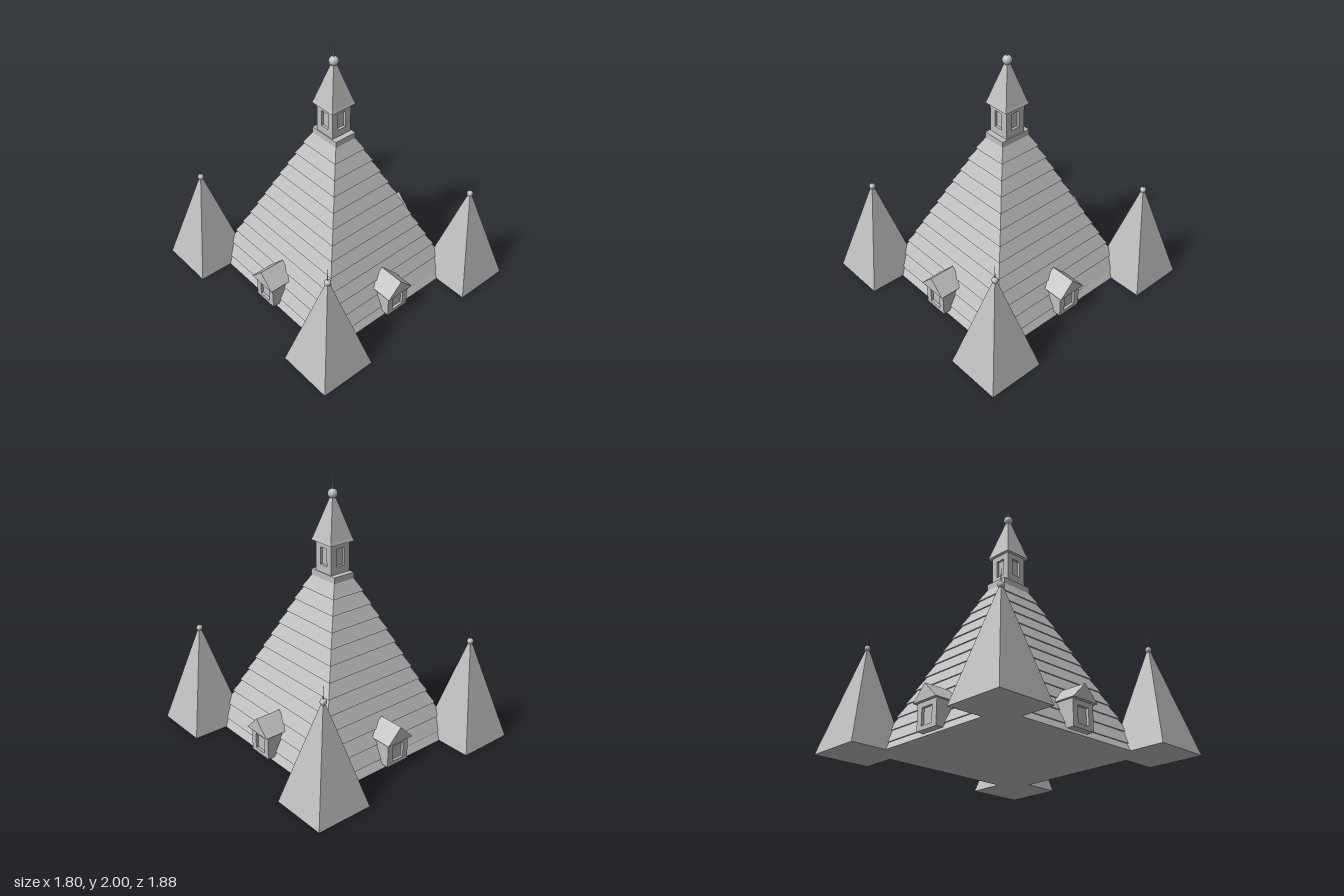
import * as THREE from 'three';

const slate = new THREE.MeshStandardMaterial({ color: 0xc0c0c0 });
slate.name = 'slate grey';
slate.flatShading = true;
const metal = new THREE.MeshStandardMaterial({ color: 0xc0c0c0 });
metal.name = 'finial grey';

function add(parent, name, geometry, x = 0, y = 0, z = 0, material = slate) {
  const mesh = new THREE.Mesh(geometry, material);
  mesh.name = name;
  mesh.position.set(x, y, z);
  parent.add(mesh);
  return mesh;
}

// Rectangular frustum standing on y0: half sizes at the bottom, then at the top
function frustum(y0, y1, bx, bz, tx, tz) {
  const g = new THREE.BoxGeometry(2, 1, 2);
  const p = g.attributes.position;
  for (let i = 0; i < p.count; i++) {
    const top = p.getY(i) > 0;
    p.setXYZ(i, p.getX(i) * (top ? tx : bx), top ? y1 : y0, p.getZ(i) * (top ? tz : bz));
  }
  g.computeVertexNormals();
  return g;
}

// Wall panel with a rectangular window opening, front face at z = 0
function windowWall(hw, y0, y1, winHw, wy0, wy1, depth) {
  const rect = (S, a, b, c) => new S([[-a, b], [a, b], [a, c], [-a, c]].map(q => new THREE.Vector2(...q)));
  const shape = rect(THREE.Shape, hw, y0, y1);
  shape.holes.push(rect(THREE.Path, winHw, wy0, wy1));
  return new THREE.ExtrudeGeometry(shape, { depth, bevelEnabled: false }).translate(0, 0, -depth);
}

// Ball with a tapering needle
function finial(parent, x, ballY, z, r, tipY) {
  add(parent, 'finialBall', new THREE.SphereGeometry(r, 20, 14), x, ballY, z, metal);
  const h = tipY - ballY;
  add(parent, 'finialCollar', new THREE.CylinderGeometry(r * 0.1, r * 0.22, h * 0.5, 10), x, ballY + h * 0.25, z, metal);
  add(parent, 'finialNeedle', new THREE.CylinderGeometry(r * 0.07, r * 0.1, h * 0.5, 10), x, ballY + h * 0.75, z, metal);
}

// Gabled dormer on the +z side of a roof whose foot lies at z = d
function dormer(d) {
  const g = new THREE.Group();
  g.name = 'dormer';
  const front = d + 0.04;
  add(g, 'dormerBody', new THREE.BoxGeometry(0.19, 0.19, 0.18), 0, 0.12, front - 0.02 - 0.09);
  add(g, 'dormerFront', windowWall(0.095, 0.025, 0.215, 0.05, 0.055, 0.175, 0.02), 0, 0, front);
  const gable = new THREE.Shape([
    new THREE.Vector2(-0.115, 0.21), new THREE.Vector2(0.115, 0.21), new THREE.Vector2(0, 0.325)]);
  add(g, 'dormerRoof', new THREE.ExtrudeGeometry(gable, { depth: 0.2, bevelEnabled: false }), 0, 0, d - 0.135);
  return g;
}

export function createModel() {
  const model = new THREE.Group();
  model.name = 'steepRoof';

  // Main roof of overlapping courses
  const roof = new THREE.Group();
  roof.name = 'mainRoof';
  model.add(roof);
  const baseX = 0.635, baseZ = 0.67, slope = 0.437, lap = 0.011, pitch = 0.0975;
  const outX = y => baseX - slope * y, outZ = y => baseZ - slope * y;
  const first = 0.06;
  for (let i = -1; i < 12; i++) {
    const y0 = i < 0 ? 0 : first + i * pitch;
    const y1 = first + (i + 1) * pitch;
    add(roof, 'roofCourse', frustum(y0, y1, outX(y0), outZ(y0), outX(y1) - lap, outZ(y1) - lap));
  }
  add(roof, 'ridgeBlock', frustum(1.22, 1.27, 0.09, 0.125, 0.09, 0.125));

  // Lantern with a window on each side
  const lantern = new THREE.Group();
  lantern.name = 'lantern';
  model.add(lantern);
  add(lantern, 'lanternCore', new THREE.BoxGeometry(0.124, 0.23, 0.124), 0, 1.385, 0);
  for (let i = 0; i < 4; i++) {
    const hw = i % 2 ? 0.063 : 0.083;
    const side = new THREE.Group();
    side.name = 'lanternSide';
    side.rotation.y = i * Math.PI / 2;
    add(side, 'lanternWall', windowWall(hw, 1.27, 1.5, 0.035, 1.325, 1.455, 0.02), 0, 0, 0.083);
    lantern.add(side);
  }

  // Spire above the lantern
  add(model, 'spireEave', frustum(1.495, 1.515, 0.107, 0.107, 0.099, 0.099));
  add(model, 'spire', frustum(1.515, 1.85, 0.099, 0.099, 0.001, 0.001));
  finial(model, 0, 1.83, 0, 0.035, 2);

  // Corner pyramids
  for (const sx of [-1, 1]) for (const sz of [-1, 1]) {
    const x = sx * 0.683, z = sz * 0.723;
    add(model, 'cornerPyramid', frustum(0, 0.79, 0.215, 0.215, 0.001, 0.001), x, 0, z);
    finial(model, x, 0.77, z, 0.023, 0.885);
  }

  // Dormers on all four slopes
  for (let i = 0; i < 4; i++) {
    const d = dormer(i % 2 ? baseX : baseZ);
    d.rotation.y = i * Math.PI / 2;
    model.add(d);
  }
  return model;
}
